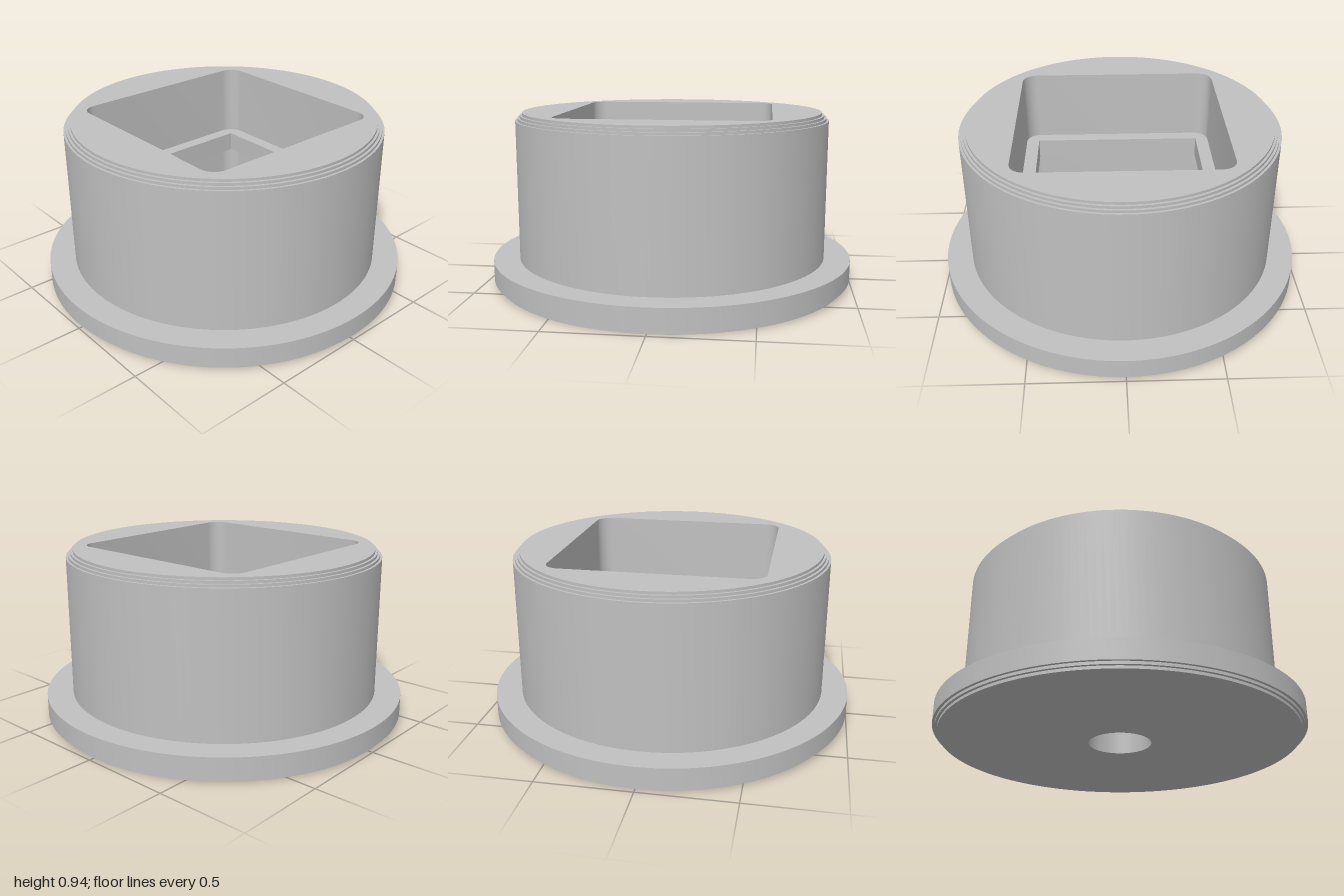
import * as THREE from 'three';
import { toCreasedNormals } from 'three/addons/utils/BufferGeometryUtils.js';

const SEG = 128;

// Counter-clockwise square outline with rounded corners (r = 0 gives sharp ones)
function square(half, r) {
  const pts = [];
  const n = r > 0 ? 10 : 0;
  [[1, 1], [-1, 1], [-1, -1], [1, -1]].forEach(([sx, sy], k) => {
    for (let i = 0; i <= n; i++) {
      const a = (k + (n ? i / n : 0)) * Math.PI / 2;
      pts.push(new THREE.Vector2(sx * (half - r) + r * Math.cos(a), sy * (half - r) + r * Math.sin(a)));
    }
  });
  return pts;
}

function circle(r) {
  return Array.from({ length: SEG }, (_, i) => {
    const a = i / SEG * Math.PI * 2;
    return new THREE.Vector2(r * Math.sin(a), r * Math.cos(a));
  });
}

// Flat horizontal face with an opening, looking up or down
function plate(outer, inner, y, up = true) {
  const shape = new THREE.Shape(outer);
  shape.holes.push(new THREE.Path(inner));
  return new THREE.ShapeGeometry(shape).rotateX(up ? -Math.PI / 2 : Math.PI / 2).translate(0, y, 0);
}

// Upright wall around an outline, facing the inside of the pocket
function pocketWall(outline, y0, y1) {
  const pos = [];
  outline.forEach((a, i) => {
    const b = outline[(i + 1) % outline.length];
    const a0 = [a.x, y0, -a.y], a1 = [a.x, y1, -a.y];
    const b0 = [b.x, y0, -b.y], b1 = [b.x, y1, -b.y];
    pos.push(...a0, ...b1, ...b0, ...a0, ...a1, ...b1);
  });
  const g = new THREE.BufferGeometry();
  g.setAttribute('position', new THREE.Float32BufferAttribute(pos, 3));
  return toCreasedNormals(g, 0.6);
}

export function createModel() {
  const group = new THREE.Group();
  const grey = new THREE.MeshStandardMaterial({ color: 0xc0c0c0 });
  grey.name = 'grey';
  const add = (name, geometry) => {
    const mesh = new THREE.Mesh(geometry, grey);
    mesh.name = name;
    group.add(mesh);
  };

  const top = 0.94, ledge = 0.54, lip = 0.43, floor = 0.13, holeR = 0.17;
  const pocket = square(0.553, 0.08);
  const opening = square(0.48, 0);

  // Centre hole, underside, stepped flange and stepped drum
  const profile = [
    [holeR, floor], [holeR, 0], [0.972, 0], [0.972, 0.015], [0.986, 0.015], [0.986, 0.03],
    [1, 0.03], [1, 0.138], [0.858, 0.138], [0.858, 0.898], [0.846, 0.898], [0.846, 0.912],
    [0.833, 0.912], [0.833, 0.926], [0.82, 0.926], [0.82, top],
  ].map(([x, y]) => new THREE.Vector2(x, y));
  add('flangedBody', toCreasedNormals(new THREE.LatheGeometry(profile, SEG), 0.6));

  // Top face and upper pocket
  add('topFace', plate(circle(0.82), pocket, top));
  add('upperPocketWall', pocketWall(pocket, ledge, top));

  // Square lip inside the pocket
  add('lipTop', plate(pocket, opening, ledge));
  add('lipEdge', pocketWall(opening, lip, ledge));
  // The outline is symmetric, so the same shape serves the underside
  add('lipUnderside', plate(pocket, opening, lip, false));

  // Lower chamber with the centre hole in its floor
  add('lowerChamberWall', pocketWall(pocket, floor, lip));
  add('chamberFloor', plate(pocket, circle(holeR), floor));

  return group;
}
